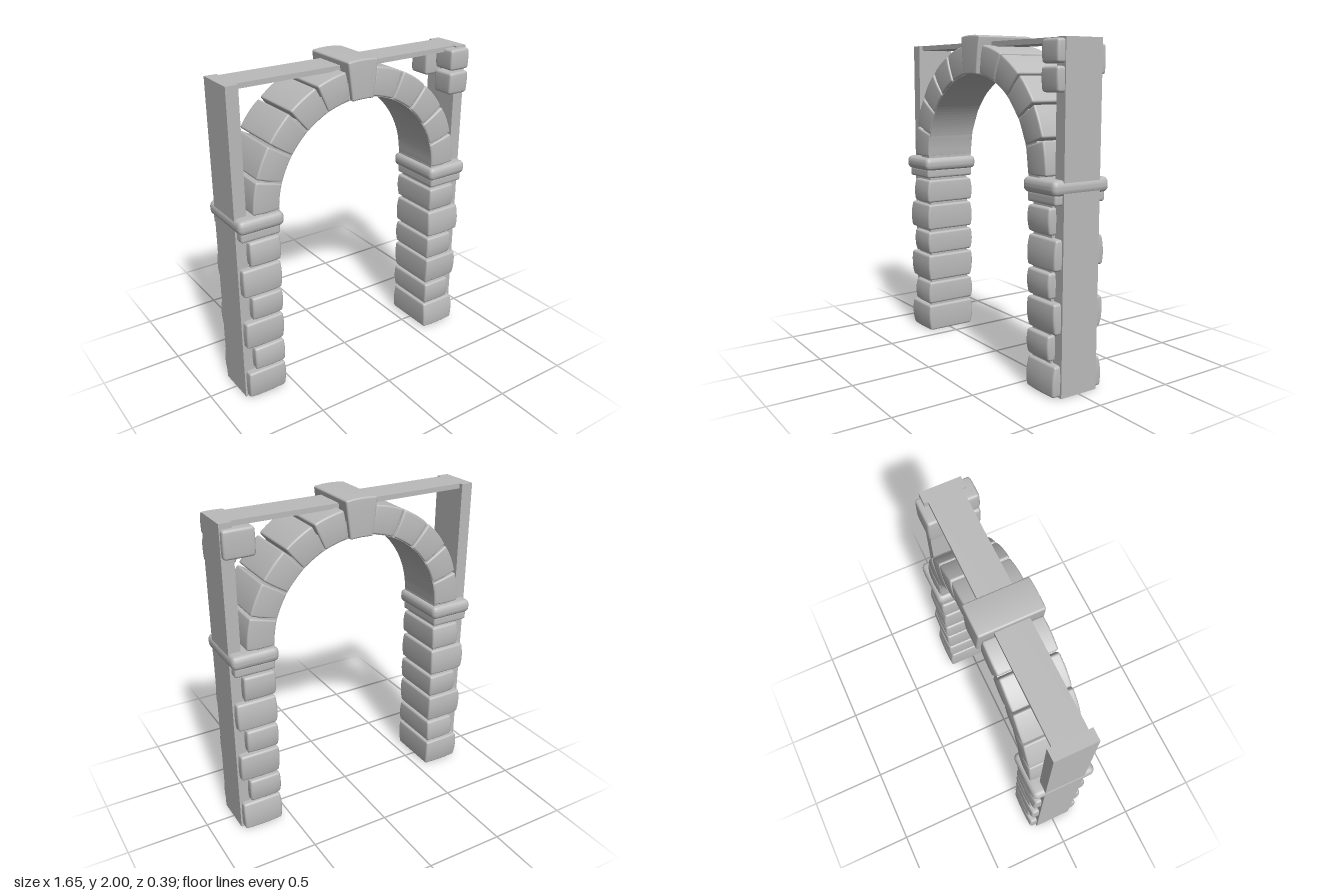
import * as THREE from 'three';
import { mergeVertices } from 'three/addons/utils/BufferGeometryUtils.js';

const CY = 1.22; // height of the arch centre

// Repeatable pseudo-random numbers for hand-cut irregularity
function makeRandom(seed) {
  return () => (seed = (seed * 16807) % 2147483647) / 2147483647;
}

// Rounded stone block; bulge pulls the front and side faces in away from a belly line
function stoneGeometry(w, h, d, r, bulge = 0, rand = () => 0.5, warp = null) {
  const geo = new THREE.BoxGeometry(2, 2, 2, 8, 8, 8);
  geo.deleteAttribute('uv');
  geo.deleteAttribute('normal');
  const pos = geo.attributes.position;
  const half = [w / 2, h / 2, d / 2];
  const belly = (rand() - 0.5) * 0.7, tilt = (rand() - 0.5) * bulge;
  const spread = (u, s) => {
    const a = Math.abs(u);
    return Math.sign(u) * (a <= 0.5 ? a * 2 * (s - r) : s - r + (a - 0.5) * 2 * r);
  };
  const p = new THREE.Vector3(), c = new THREE.Vector3();
  for (let i = 0; i < pos.count; i++) {
    p.fromBufferAttribute(pos, i);
    p.set(spread(p.x, half[0]), spread(p.y, half[1]), spread(p.z, half[2]));
    c.set(...[p.x, p.y, p.z].map((v, k) => THREE.MathUtils.clamp(v, r - half[k], half[k] - r)));
    p.sub(c);
    if (p.lengthSq() > 0) p.setLength(r);
    p.add(c);
    const v = p.y / half[1], u = p.x / half[0];
    p.z *= 1 - bulge * ((v - belly) ** 2 * 0.6 + u * u * 0.3);
    p.x *= 1 - bulge * 0.4 * v * v;
    p.y *= 1 - bulge * 0.25 * u * u + tilt * 0.3 * u;
    if (warp) warp(p);
    pos.setXYZ(i, p.x, p.y, p.z);
  }
  const out = mergeVertices(geo);
  out.computeVertexNormals();
  return out;
}

export function createModel() {
  const model = new THREE.Group();
  model.name = 'stoneArch';
  const stone = new THREE.MeshStandardMaterial({ color: 0xbbbbbb });
  stone.name = 'grey stone';
  const rand = makeRandom(4711);

  const add = (name, geo, x = 0, y = 0, z = 0) => {
    const mesh = new THREE.Mesh(geo, stone);
    mesh.name = name;
    mesh.position.set(x, y, z);
    model.add(mesh);
    return mesh;
  };
  // Box given by its limits
  const box = (name, x0, x1, y0, y1, z0, z1) =>
    add(name, new THREE.BoxGeometry(x1 - x0, y1 - y0, z1 - z0), (x0 + x1) / 2, (y0 + y1) / 2, (z0 + z1) / 2);
  // Rounded block given by its limits
  const block = (name, x0, x1, y0, y1, z0, z1, r, bulge) =>
    add(name, stoneGeometry(x1 - x0, y1 - y0, z1 - z0, r, bulge, rand), (x0 + x1) / 2, (y0 + y1) / 2, (z0 + z1) / 2);

  // Plain frame behind the stonework
  box('topBeam', -0.746, 0.746, 1.93, 1.96, -0.1, 0.1);

  // Pier blocks: bottom, top, outer x
  const courses = [
    [0.005, 0.187, 0.81], [0.2, 0.35, 0.76], [0.362, 0.542, 0.81],
    [0.553, 0.704, 0.76], [0.718, 0.895, 0.81], [0.908, 1.062, 0.757],
  ];
  for (const [side, s] of [['left', 1], ['right', -1]]) {
    const span = (a, b) => (s > 0 ? [a, b] : [-b, -a]);
    box(side + 'Post', ...span(0.745, 0.82), 0, 1.96, -0.125, 0.125);
    box(side + 'PierCore', ...span(0.58, 0.746), 0.02, 1.1, -0.145, 0.145);
    courses.forEach(([y0, y1, xo], i) =>
      block(`${side}PierBlock${i + 1}`, ...span(0.556, xo), y0, y1, -0.18, 0.18, 0.014, 0.09));
    // Two-step capital
    block(side + 'CapitalNeck', ...span(0.558, 0.808), 1.077, 1.14, -0.175, 0.175, 0.014, 0);
    block(side + 'Capital', ...span(0.535, 0.825), 1.128, 1.215, -0.195, 0.195, 0.032, 0);
  }

  // Arch stones bent around the centre; angle measured from the crown
  const voussoir = (name, angle, sweep, r0, r1, depth, bulge) => {
    const mid = (r0 + r1) / 2;
    const warp = (p) => {
      const a = angle + p.x / mid, r = mid + p.y;
      p.set(Math.sin(a) * r, CY + Math.cos(a) * r, p.z);
    };
    add(name, stoneGeometry(sweep * mid, r1 - r0, depth, 0.011, bulge, rand, warp));
  };
  const keyHalf = 0.135, step = (Math.PI / 2 - keyHalf) / 5;
  for (const s of [1, -1]) {
    for (let i = 0; i < 5; i++) {
      voussoir((s > 0 ? 'left' : 'right') + 'ArchStone' + (i + 1),
        s * (keyHalf + step * (i + 0.5)), step - 0.014, 0.555, 0.727, 0.36, 0.05);
    }
  }
  voussoir('keystone', 0, keyHalf * 2 - 0.004, 0.55, 0.78, 0.39, 0.02);

  // Smooth lining that closes the joints inside the arch
  const ring = new THREE.Shape();
  ring.absarc(0, 0, 0.66, 0, Math.PI, false);
  ring.absarc(0, 0, 0.557, Math.PI, 0, true);
  const lining = new THREE.ExtrudeGeometry(ring, { depth: 0.33, bevelEnabled: false, curveSegments: 40 });
  add('archLining', lining, 0, CY - 0.005, -0.165);

  // Loose corner stones at the top of one post
  block('cornerStoneUpper', 0.67, 0.815, 1.823, 1.952, 0.02, 0.175, 0.016, 0.08);
  block('cornerStoneLower', 0.668, 0.815, 1.672, 1.81, 0.02, 0.175, 0.016, 0.08);
  block('cornerStoneBack', 0.628, 0.816, 1.765, 1.93, -0.16, -0.01, 0.016, 0.06);

  return model;
}
